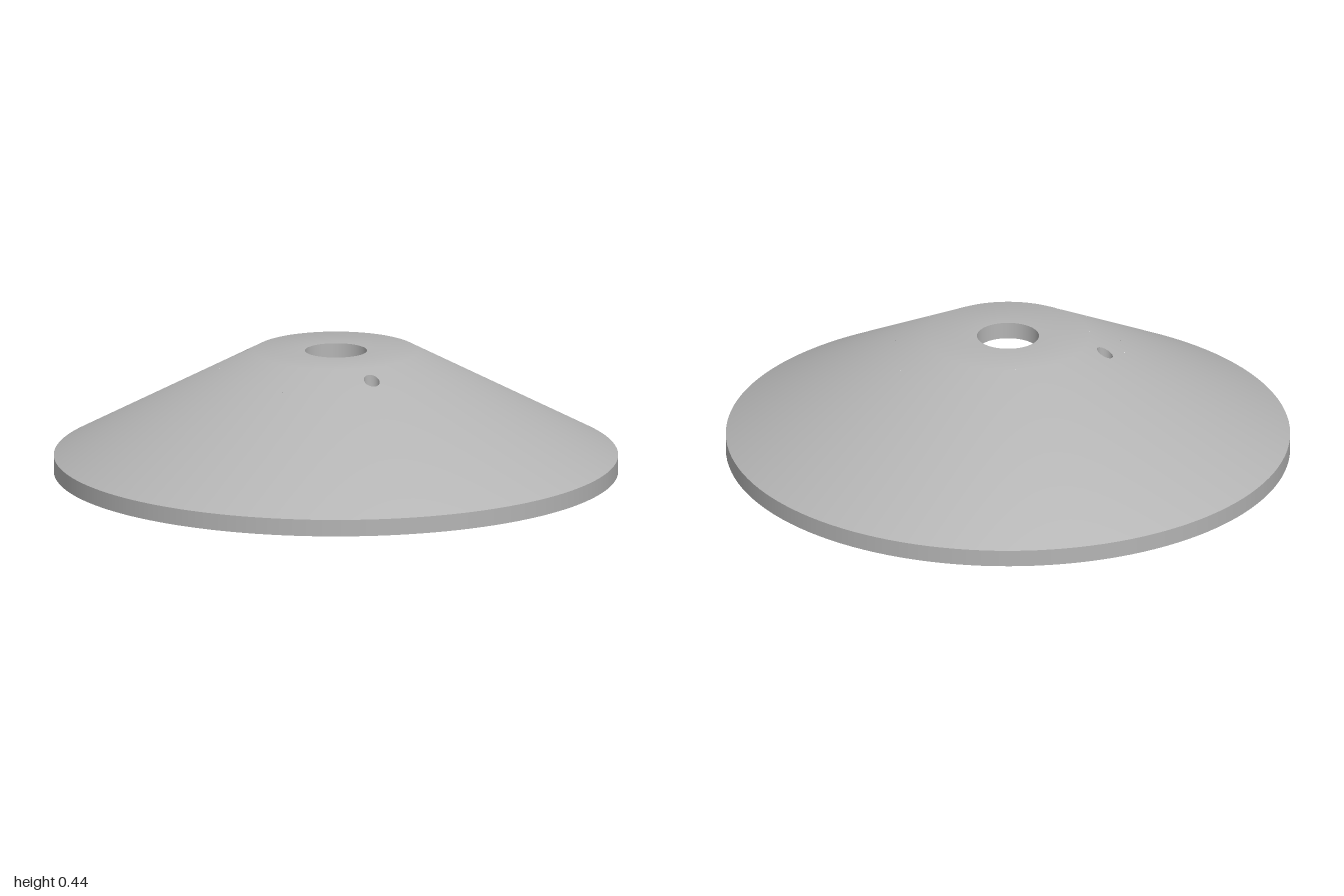
import * as THREE from 'three';
import { mergeGeometries } from 'three/addons/utils/BufferGeometryUtils.js';

const BORE = 0.11, FLAT = 0.29, BAND = 0.412, TOP = 0.44, RIM = 0.06, THICK = 0.06;
const SLOPE = (TOP - RIM) / (1 - FLAT);
const SCREW = 0.028, BOSS = 0.065, BOSS_Y = 0.306, HALF = 0.24;
const HOLE_R = 0.351, HOLE_PHI = [-0.4254, Math.PI + 0.4254];

const topY = (r) => TOP - Math.max(0, r - FLAT) * SLOPE;
const underY = (r) => topY(r) - THICK;

// Lathe band through [r, y] points
function band(points, start = 0, length = Math.PI * 2) {
  const n = Math.ceil((128 * length) / (Math.PI * 2));
  const g = new THREE.LatheGeometry(points.map((p) => new THREE.Vector2(...p)), n, start, length);
  g.deleteAttribute('uv');
  return g;
}

// Rectangular mesh of nu x nv cells, placed by f(u, v) -> [x, y, z]
function grid(nu, nv, f) {
  const pos = [], index = [];
  for (let i = 0; i <= nu; i++) for (let j = 0; j <= nv; j++) pos.push(...f(i / nu, j / nv));
  for (let i = 0; i < nu; i++) for (let j = 0; j < nv; j++) {
    const a = i * (nv + 1) + j, b = a + nv + 1;
    index.push(a, b, a + 1, b + 1, a + 1, b);
  }
  const g = new THREE.BufferGeometry();
  g.setAttribute('position', new THREE.Float32BufferAttribute(pos, 3));
  g.setIndex(index);
  g.computeVertexNormals();
  return g;
}

// Point on a circle around a screw hole, in plan
function circle(phi, radius, t) {
  const r = HOLE_R + radius * Math.sin(t), s = radius * Math.cos(t);
  return [r * Math.sin(phi) + s * Math.cos(phi), r * Math.cos(phi) - s * Math.sin(phi)];
}

// Patch of the cone with a round hole, filling one gap in the band
function patch(phi, side, yOf) {
  return grid(48, 6, (u, v) => {
    const t = side * u * Math.PI * 2, c = Math.cos(t), s = Math.sin(t);
    const m = Math.max(Math.abs(c), Math.abs(s));
    const p = phi + (HALF * c) / m, r = HOLE_R + ((BAND - HOLE_R) * s) / m;
    const [hx, hz] = circle(phi, SCREW, t);
    const x = THREE.MathUtils.lerp(hx, r * Math.sin(p), v);
    const z = THREE.MathUtils.lerp(hz, r * Math.cos(p), v);
    return [x, yOf(Math.hypot(x, z)), z];
  });
}

// One skin of the shell: side 1 faces up, side -1 faces down
function skin(side, yOf) {
  const ring = (...radii) => {
    const pts = radii.map((r) => [r, yOf(r)]);
    return side > 0 ? pts.reverse() : pts;
  };
  const [a, b] = HOLE_PHI;
  const parts = [
    band(ring(BORE, FLAT)),
    band(ring(BAND, 1)),
    band(ring(FLAT, BAND), a + HALF, b - a - 2 * HALF),
    band(ring(FLAT, BAND), b + HALF, a + Math.PI * 2 - b - 2 * HALF),
    ...HOLE_PHI.map((phi) => patch(phi, side, yOf)),
  ];
  const g = mergeGeometries(parts);
  // Normals tilt gradually from the flat crown to the cone
  const full = Math.atan(SLOPE), P = g.attributes.position, N = g.attributes.normal;
  for (let i = 0; i < P.count; i++) {
    const x = P.getX(i), z = P.getZ(i), r = Math.hypot(x, z);
    const k = r < FLAT ? (0.5 * (r - BORE)) / (FLAT - BORE) : 0.5 + (0.5 * (r - FLAT)) / (1 - FLAT);
    const tilt = full * k, h = (side * Math.sin(tilt)) / r;
    N.setXYZ(i, h * x, side * Math.cos(tilt), h * z);
  }
  return g;
}

export function createModel() {
  const model = new THREE.Group();
  model.name = 'conicalCover';
  const grey = new THREE.MeshStandardMaterial({ color: 0xb4b4b4 });
  grey.name = 'grey';
  const add = (name, geometry, parent = model) => {
    const mesh = new THREE.Mesh(geometry, grey);
    mesh.name = name;
    parent.add(mesh);
  };

  add('outerCone', skin(1, topY));
  add('innerCone', skin(-1, underY));
  add('rimEdge', band([[1, 0], [1, RIM]]));
  add('centreBore', band([[BORE, TOP], [BORE, TOP - THICK]]));

  // Hollow screw bosses under the cone
  HOLE_PHI.forEach((phi, i) => {
    const boss = new THREE.Group();
    boss.name = i ? 'backScrewBoss' : 'frontScrewBoss';
    model.add(boss);
    const wall = (radius, dir, yOf) => grid(48, 1, (u, v) => {
      const [x, z] = circle(phi, radius, dir * u * Math.PI * 2);
      return [x, THREE.MathUtils.lerp(BOSS_Y, yOf(Math.hypot(x, z)), v), z];
    });
    add('bossWall', wall(BOSS, -1, (r) => underY(r) + 0.01), boss);
    add('screwHole', wall(SCREW, 1, topY), boss);
    add('bossFace', grid(48, 1, (u, v) => {
      const [x, z] = circle(phi, THREE.MathUtils.lerp(SCREW, BOSS, v), -u * Math.PI * 2);
      return [x, BOSS_Y, z];
    }), boss);
  });
  return model;
}
